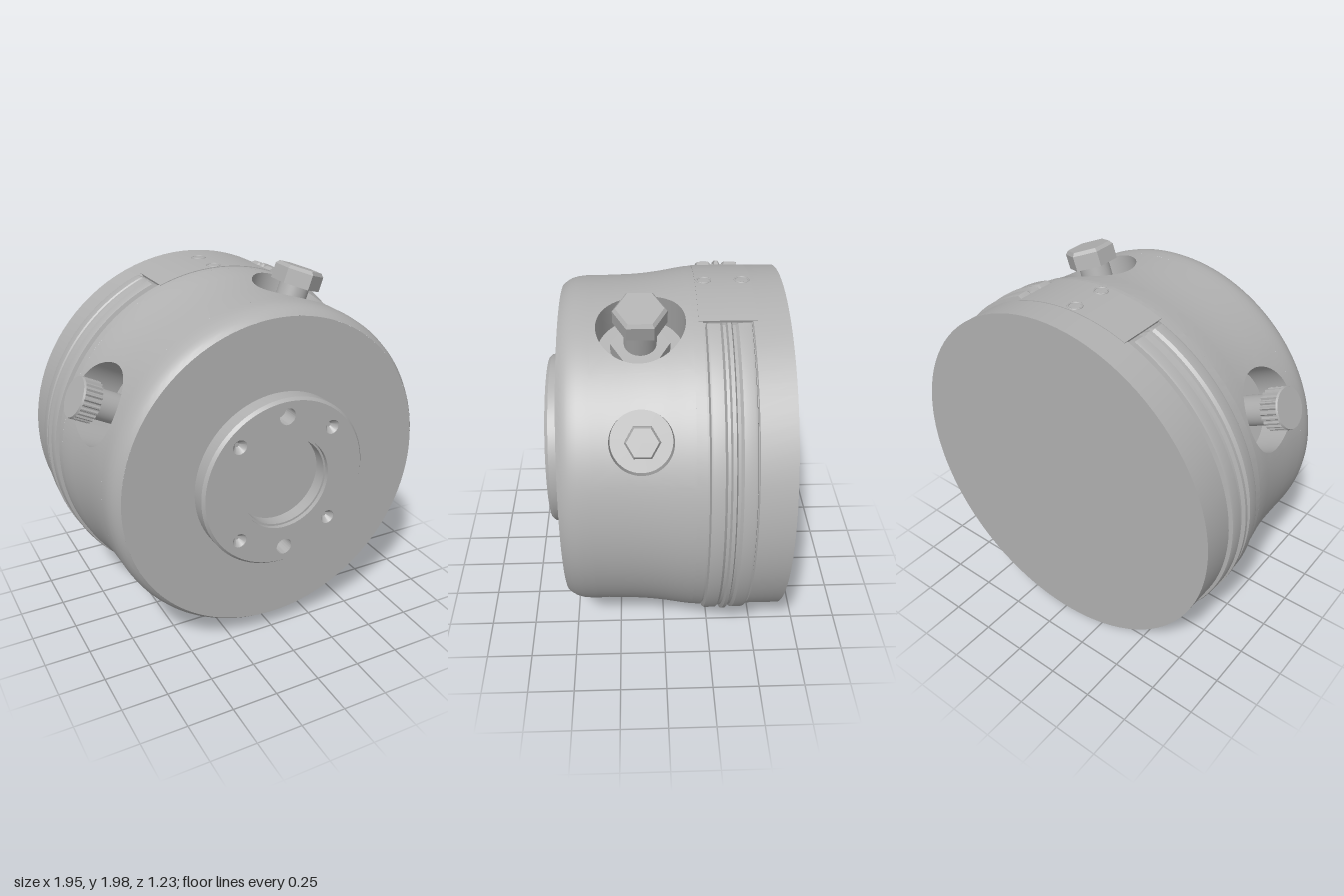
import * as THREE from 'three';
import { mergeGeometries, toCreasedNormals } from 'three/addons/utils/BufferGeometryUtils.js';

const PI = Math.PI, TAU = PI * 2, rad = d => d * PI / 180;
const AXIS_Y = 0.983;   // height of the housing axis
const FLAT = -0.883;    // flat under the front housing, relative to the axis
const metal = new THREE.MeshStandardMaterial({ color: 0xb0b0b0 });
metal.name = 'grey metal';

function add(parent, name, geo) {
  const mesh = new THREE.Mesh(geo, metal);
  mesh.name = name;
  parent.add(mesh);
  return mesh;
}

// Grid surface through f(u, v), facing along du x dv
function sheet(nu, nv, f) {
  const pos = [], idx = [];
  for (let i = 0; i <= nu; i++) for (let j = 0; j <= nv; j++) pos.push(...f(i / nu, j / nv, j));
  for (let i = 0; i < nu; i++) for (let j = 0; j < nv; j++) {
    const a = i * (nv + 1) + j, b = a + nv + 1;
    idx.push(a, b, b + 1, a, b + 1, a + 1);
  }
  const g = new THREE.BufferGeometry();
  g.setAttribute('position', new THREE.Float32BufferAttribute(pos, 3));
  g.setIndex(idx);
  return g;
}

// Turned part about the z axis; profile is [radius, z] with z rising
function turned(profile, segments = 96, start = 0, length = TAU) {
  const pts = profile.map(p => new THREE.Vector2(...p));
  return new THREE.LatheGeometry(pts, segments, start, length).rotateX(PI / 2);
}
const crease = (g, a = 0.45) => toCreasedNormals(g, a);

// Waisted side of the front housing
const side = [[-0.19, 0.95], [-0.14, 0.947], [-0.08, 0.938], [0, 0.924], [0.08, 0.914], [0.16, 0.908],
  [0.28, 0.905], [0.40, 0.904], [0.44, 0.9], [0.475, 0.89], [0.5, 0.876], [0.52, 0.86]];
function radiusAt(z) {
  let i = 0;
  while (i < side.length - 2 && z > side[i + 1][0]) i++;
  const [z0, r0] = side[i], [z1, r1] = side[i + 1];
  return r0 + (r1 - r0) * (z - z0) / (z1 - z0);
}
function skin(a, z) {
  const r = radiusAt(z), y = r * Math.sin(a);
  return [r * Math.cos(a), z > -0.02 ? Math.max(y, FLAT) : y, z];
}

// Round pockets: angle, z, radius, floor distance from axis, half window angle
const pockets = [
  { angle: 32.5, z: 0.115, r: 0.155, floor: 0.74, win: 13 },
  { angle: 70.5, z: 0.11, r: 0.22, floor: 0.72, win: 17 },
  { angle: 153, z: 0.105, r: 0.22, floor: 0.72, win: 17 },
  { angle: 309.5, z: 0.19, r: 0.12, floor: 0.76, win: 12 },
];
const Z0 = -0.14, Z1 = 0.36;

function housingGeometry() {
  const parts = [];
  const band = (a0, a1, zs) => parts.push(sheet(Math.ceil((a1 - a0) / 1.5), zs.length - 1,
    (u, v, j) => skin(rad(a0 + (a1 - a0) * u), zs[j])));
  band(0, 360, [-0.19, Z0]);
  band(0, 360, [Z1, 0.40, 0.42, 0.44, 0.46, 0.475, 0.49, 0.5, 0.51, 0.52]);
  // plain skin between the pockets
  const middle = [Z0, -0.11, -0.08, -0.05, -0.0201, -0.0199, 0, 0.04, 0.08, 0.12, 0.16, 0.22, 0.28, Z1];
  pockets.forEach((p, i) => {
    const next = pockets[(i + 1) % pockets.length];
    let end = next.angle - next.win;
    if (end < p.angle) end += 360;
    band(p.angle + p.win, end, middle);
  });
  // skin around each pocket, then its wall
  for (const p of pockets) {
    const a = rad(p.angle), w = rad(p.win), n = 64;
    const rim = t => {
      const z = p.z + p.r * Math.sin(t);
      return [a + Math.asin(p.r * Math.cos(t) / radiusAt(z)), z];
    };
    parts.push(sheet(8, n, (k, v) => {
      const t = v * TAU, c = Math.cos(t), s = Math.sin(t), m = Math.max(Math.abs(c), Math.abs(s));
      const [ra, rz] = rim(t);
      const sa = a + w * c / m, sz = (Z0 + Z1) / 2 + (Z1 - Z0) / 2 * s / m;
      return skin(ra + (sa - ra) * k, rz + (sz - rz) * k);
    }));
    parts.push(sheet(1, n, (k, v) => {
      const t = v * TAU;
      if (k === 1) return skin(...rim(t));
      const q = p.r * Math.cos(t);
      return [p.floor * Math.cos(a) - q * Math.sin(a), p.floor * Math.sin(a) + q * Math.cos(a), p.z + p.r * Math.sin(t)];
    }));
  }
  return crease(mergeGeometries(parts));
}

// Group whose local +y points outward from the axis
function radialGroup(parent, name, angle, z) {
  const g = new THREE.Group();
  g.name = name;
  g.rotation.z = rad(angle - 90);
  g.position.z = z;
  parent.add(g);
  return g;
}
function cylinder(r, y0, y1, sides = 32, rTop = r) {
  return new THREE.CylinderGeometry(rTop, r, y1 - y0, sides).translate(0, (y0 + y1) / 2, 0);
}
// Hexagonal head with a chamfered top
function hexHead(parent, name, r, y0, y1, chamfer) {
  add(parent, name, crease(cylinder(r, y0, y1 - chamfer, 6)));
  add(parent, name + 'Chamfer', crease(cylinder(r, y1 - chamfer, y1, 6, r * 0.88)));
}

export function createModel() {
  const root = new THREE.Group();
  root.name = 'roundHousing';
  const body = new THREE.Group();
  body.name = 'body';
  body.position.y = AXIS_Y;
  root.add(body);

  add(body, 'frontHousing', housingGeometry());
  add(body, 'frontFace', new THREE.CircleGeometry(0.86, 120).translate(0, 0, 0.52));
  add(body, 'backDisc', crease(turned([[0, -0.615], [0.95, -0.615], [0.95, -0.435], [0.94, -0.43], [0.94, -0.19], [0.95, -0.19]])));

  // Clamping band, fading out beside the top plate
  const gap = rad(20.5);
  const ring = turned([[0.94, -0.428], [0.965, -0.422], [0.969, -0.41], [0.969, -0.358], [0.955, -0.345], [0.957, -0.33],
    [0.975, -0.322], [0.975, -0.305], [0.957, -0.297], [0.955, -0.283], [0.969, -0.27], [0.969, -0.217], [0.965, -0.207], [0.94, -0.2]],
    180, PI + gap, TAU - 2 * gap);
  const p = ring.attributes.position;
  for (let i = 0; i < p.count; i++) {
    const x = p.getX(i), y = p.getY(i), r = Math.hypot(x, y);
    const fade = Math.min(1, (Math.abs(Math.atan2(x, y)) - gap) / rad(1.8));
    const s = (0.94 + (r - 0.94) * Math.max(0, fade)) / r;
    p.setXY(i, x * s, y * s);
  }
  add(body, 'clampBand', crease(ring));

  // Curved plate on top with two ringed screws
  const arc = new THREE.Shape();
  arc.absarc(0, 0, 0.953, PI / 2 - gap, PI / 2 + gap, false);
  arc.absarc(0, 0, 0.93, PI / 2 + gap, PI / 2 - gap, true);
  add(body, 'topPlate', crease(new THREE.ExtrudeGeometry(arc, { depth: 0.285, bevelEnabled: false, curveSegments: 32 }).translate(0, 0, -0.455)));
  for (const z of [-0.41, -0.215])
    add(body, 'plateScrew', new THREE.TorusGeometry(0.035, 0.005, 8, 32).rotateX(PI / 2).translate(0, 0.952, z));

  // Front boss with centre bore and six holes
  const boss = new THREE.Shape().absarc(0, 0, 0.458, 0, TAU, false);
  const bore = (x, y, r) => boss.holes.push(new THREE.Path().absarc(x, y, r, 0, TAU, true));
  bore(0, 0, 0.255);
  for (let i = 0; i < 6; i++) {
    const a = PI / 2 + [0, 45, 135, 180, 225, 315][i] * PI / 180, plain = i % 3 === 0;
    const x = 0.377 * Math.cos(a), y = 0.377 * Math.sin(a), r = plain ? 0.045 : 0.039;
    bore(x, y, r);
    if (!plain) {
      const cone = new THREE.LatheGeometry([new THREE.Vector2(r, 0.612), new THREE.Vector2(0.012, 0.58), new THREE.Vector2(0, 0.58)].reverse(), 24);
      // the profile runs outward from the centre, so turn it to face the front
      const idx = cone.index.array;
      for (let k = 0; k < idx.length; k += 3) [idx[k], idx[k + 1]] = [idx[k + 1], idx[k]];
      add(body, 'countersink', crease(cone.rotateX(PI / 2).translate(x, y, 0)));
    }
  }
  add(body, 'frontBoss', crease(new THREE.ExtrudeGeometry(boss, { depth: 0.1, bevelEnabled: false, curveSegments: 48 }).translate(0, 0, 0.515)));
  add(body, 'bossRim', crease(turned([[0.472, 0.515], [0.472, 0.598], [0.458, 0.615]])));
  // stepped lip inside the bore
  const lip = new THREE.Shape().absarc(0, 0, 0.258, 0, TAU, false);
  lip.holes.push(new THREE.Path().absarc(0, 0, 0.244, 0, TAU, true));
  add(body, 'boreLip', crease(new THREE.ExtrudeGeometry(lip, { depth: 0.075, bevelEnabled: false, curveSegments: 48 }).translate(0, 0, 0.515)));
  add(body, 'centreMark', new THREE.CircleGeometry(0.006, 12).translate(0, 0, 0.522));

  // Pocket floors
  for (const k of pockets) {
    const g = radialGroup(body, 'pocket', k.angle, k.z);
    add(g, 'pocketFloor', new THREE.CircleGeometry(k.r, 64).rotateX(-PI / 2).translate(0, k.floor, 0));
  }

  // Large hex bolt
  const large = radialGroup(body, 'largeBolt', 70, 0.112);
  add(large, 'flange', crease(cylinder(0.15, 0.72, 0.79, 6)));
  add(large, 'stem', crease(cylinder(0.082, 0.72, 0.95)));
  hexHead(large, 'hexHead', 0.133, 0.94, 1.037, 0.018);

  // Small hex bolt
  const small = radialGroup(body, 'smallBolt', 32.5, 0.11);
  add(small, 'stem', crease(cylinder(0.06, 0.74, 0.85)));
  hexHead(small, 'hexHead', 0.088, 0.82, 0.912, 0.02);

  // Knurled screw
  const knurled = radialGroup(body, 'knurledScrew', 153, 0.108);
  add(knurled, 'stem', crease(cylinder(0.08, 0.72, 0.95)));
  const teeth = new THREE.Shape();
  for (let i = 0; i < 96; i++) {
    const r = i % 4 < 2 ? 0.11 : 0.101, a = i / 96 * TAU;
    teeth[i ? 'lineTo' : 'moveTo'](r * Math.cos(a), r * Math.sin(a));
  }
  add(knurled, 'knurl', crease(new THREE.ExtrudeGeometry(teeth, { depth: 0.095, bevelEnabled: false }).rotateX(-PI / 2).translate(0, 0.935, 0)));
  add(knurled, 'cap', crease(cylinder(0.11, 1.03, 1.04, 40, 0.106)));

  // Two pin ends on the flat underneath
  for (const x of [-0.11, 0.11])
    add(body, 'pinEnd', new THREE.CylinderGeometry(0.02, 0.02, 0.008, 20).translate(x, FLAT, 0.15));
  return root;
}
